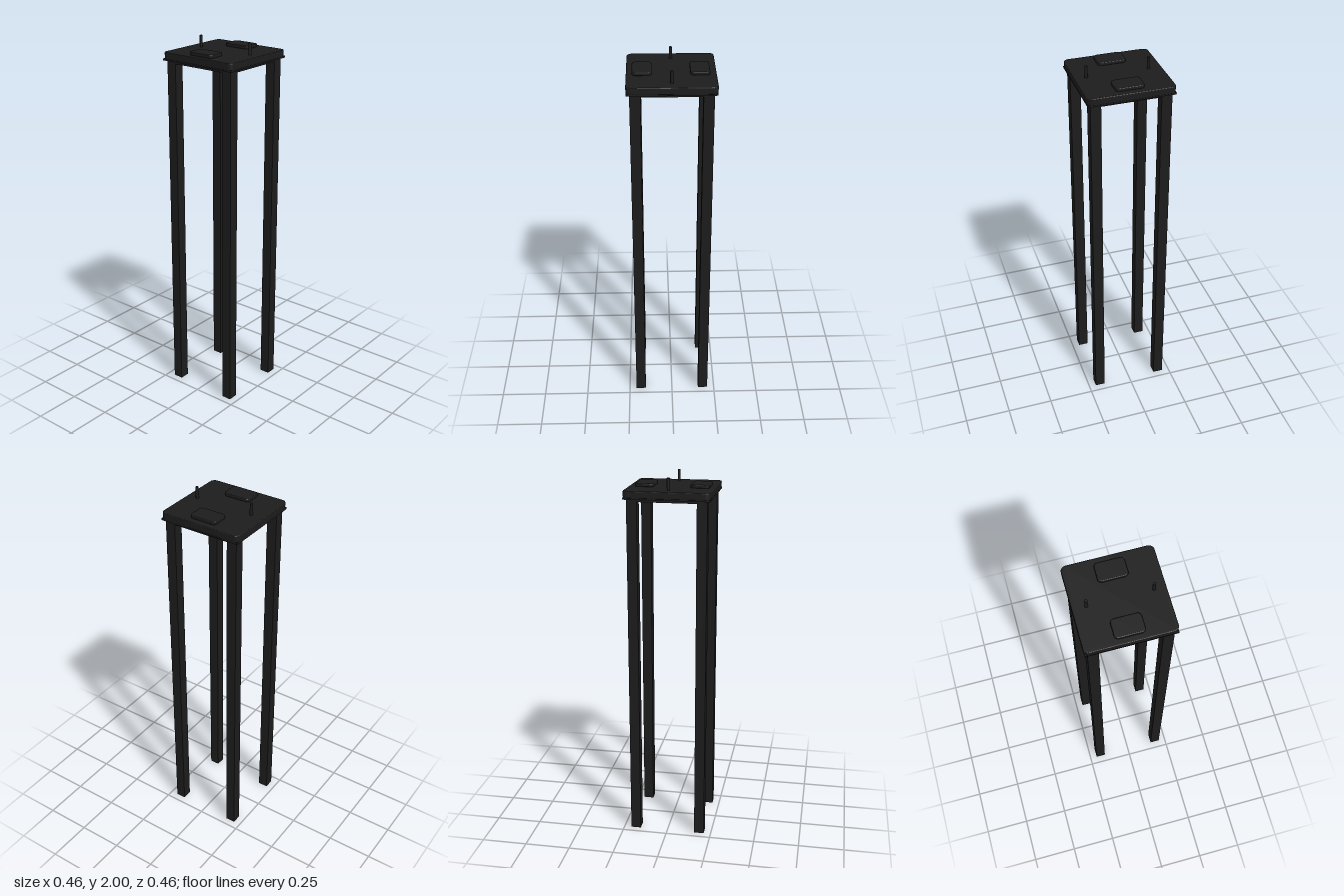
import * as THREE from 'three';

const material = new THREE.MeshStandardMaterial({ color: 0x1c1c1c });

function add(parent, name, geometry, x, y, z) {
  const mesh = new THREE.Mesh(geometry, material);
  mesh.name = name;
  mesh.position.set(x, y, z);
  parent.add(mesh);
  return mesh;
}

// Horizontal plate with rounded corners and a softened rim, resting on y = 0
function roundedPlate(width, depth, height, radius, bevel) {
  const w = width / 2 - bevel, d = depth / 2 - bevel, r = radius - bevel;
  const s = new THREE.Shape();
  s.moveTo(-w + r, -d);
  s.lineTo(w - r, -d);
  s.absarc(w - r, -d + r, r, -Math.PI / 2, 0);
  s.absarc(w - r, d - r, r, 0, Math.PI / 2);
  s.absarc(-w + r, d - r, r, Math.PI / 2, Math.PI);
  s.absarc(-w + r, -d + r, r, Math.PI, Math.PI * 1.5);
  const g = new THREE.ExtrudeGeometry(s, {
    depth: height - 2 * bevel, bevelThickness: bevel, bevelSize: bevel,
    bevelSegments: 3, curveSegments: 8,
  });
  return g.translate(0, 0, bevel).rotateX(-Math.PI / 2);
}

export function createModel() {
  const model = new THREE.Group();
  model.name = 'tallStand';

  // Four square legs
  for (const x of [-1, 1]) {
    for (const z of [-1, 1]) {
      add(model, 'leg', new THREE.BoxGeometry(0.055, 1.895, 0.055), x * 0.183, 0.9475, z * 0.183);
    }
  }

  // Shallow apron boards between the legs, leaving the underside hollow
  for (const s of [-1, 1]) {
    add(model, 'apron', new THREE.BoxGeometry(0.32, 0.014, 0.02), 0, 1.888, s * 0.2);
    add(model, 'apron', new THREE.BoxGeometry(0.02, 0.014, 0.32), s * 0.2, 1.888, 0);
  }

  // Square under-plate and rounded top
  add(model, 'underPlate', new THREE.BoxGeometry(0.452, 0.01, 0.452), 0, 1.899, 0);
  add(model, 'top', roundedPlate(0.456, 0.456, 0.037, 0.028, 0.004), 0, 1.901, 0);

  // Raised pads near the front and back edges
  for (const z of [-0.145, 0.149]) {
    add(model, 'pad', roundedPlate(0.15, 0.1, 0.018, 0.02, 0.004), 0, 1.937, z);
  }

  // Upright pins
  for (const x of [-0.158, 0.168]) {
    add(model, 'pin', new THREE.CylinderGeometry(0.008, 0.008, 0.07, 16), x, 1.965, 0);
  }

  return model;
}
